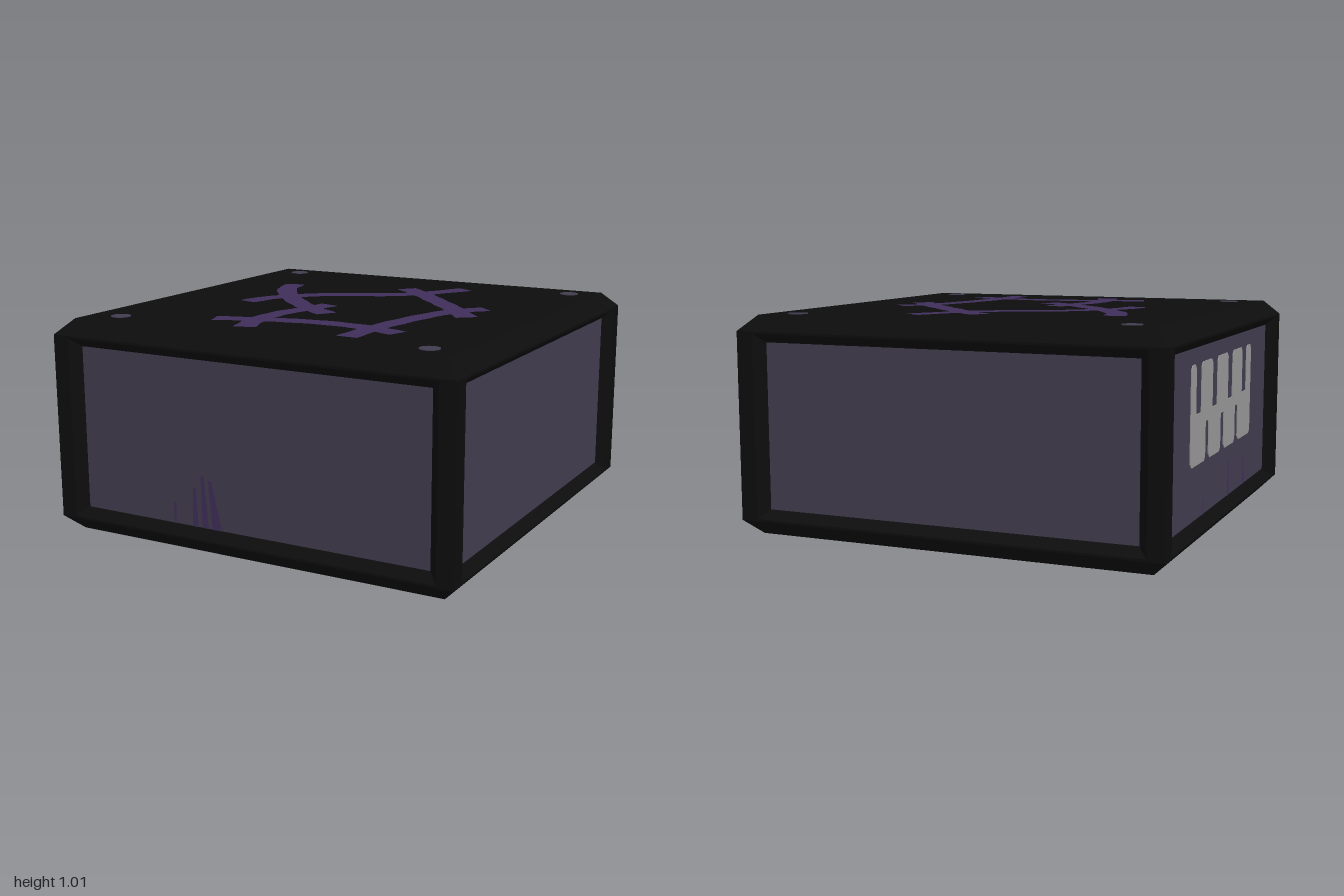
import * as THREE from 'three';

const mat = (name, color) => Object.assign(new THREE.MeshStandardMaterial({ color }), { name });

export function createModel() {
  const model = new THREE.Group();
  model.name = 'markedBox';
  const black = mat('black casing', 0x0d0d0d);
  const slate = mat('slate panel', 0x423d4f);
  const purple = mat('purple paint', 0x3f2e5a);
  const bone = mat('pale grey paint', 0x999999);

  const add = (parent, name, geometry, material) => {
    const mesh = new THREE.Mesh(geometry, material);
    mesh.name = name;
    parent.add(mesh);
    return mesh;
  };
  const polygon = (pts) => new THREE.Shape(pts.map(([x, y]) => new THREE.Vector2(x, y)));

  // Chamfered lid and base: four-sided frustums
  const C = 0.07, R = Math.SQRT2;
  const slab = (name, top, bottom, y) => {
    const g = new THREE.CylinderGeometry(top * R, bottom * R, C, 4).toNonIndexed();
    g.rotateY(Math.PI / 4).translate(0, y, 0);
    g.computeVertexNormals();
    add(model, name, g, black);
  };
  slab('lid', 1 - C, 1, 1 - C / 2);
  slab('base', 1, 1 - C, C / 2);

  // Side frame: rectangular loops stepping inward to the recessed panel
  const rect = (x, y, z) => [[-x, 0.5 - y, z], [x, 0.5 - y, z], [x, 0.5 + y, z], [-x, 0.5 + y, z]];
  const frameGeometry = () => {
    const loops = [rect(1, 0.43, 1), rect(0.92, 0.42, 1), rect(0.875, 0.38, 0.955)];
    const pos = [];
    for (let k = 0; k < loops.length - 1; k++) {
      const a = loops[k], b = loops[k + 1];
      for (let i = 0; i < 4; i++) {
        const j = (i + 1) % 4;
        pos.push(...a[i], ...a[j], ...b[j], ...a[i], ...b[j], ...b[i]);
      }
    }
    const g = new THREE.BufferGeometry();
    g.setAttribute('position', new THREE.Float32BufferAttribute(pos, 3));
    g.computeVertexNormals();
    return g;
  };
  const sides = ['front', 'left', 'back', 'right'].map((name, k) => {
    const side = new THREE.Group();
    side.name = name + 'Side';
    side.rotation.y = k * Math.PI / 2;
    add(side, name + 'Frame', frameGeometry(), black);
    add(side, name + 'Panel', new THREE.PlaneGeometry(1.75, 0.76), slate).position.set(0, 0.5, 0.955);
    model.add(side);
    return side;
  });

  // Painted spikes rising from the panel's lower edge
  const spikes = (side, list) => list.forEach(([x0, x1, tipX, tipY]) => {
    const g = new THREE.ShapeGeometry(polygon([[x0, 0.12], [x1, 0.12], [tipX + 0.008, tipY], [tipX - 0.008, tipY]]));
    add(side, 'paintSpike', g, purple).position.z = 0.958;
  });
  spikes(sides[0], [[-0.29, -0.26, -0.277, 0.3], [-0.24, -0.205, -0.235, 0.36],
    [-0.185, -0.135, -0.195, 0.34], [-0.388, -0.382, -0.385, 0.22]]);
  spikes(sides[3], [[-0.31, -0.29, -0.3, 0.19], [0.125, 0.155, 0.14, 0.29], [0.43, 0.455, 0.435, 0.27]]);

  // Row of interlocking teeth on the right side
  const teeth = [];
  const c = 0.02, top = 0.81, low = 0.365;
  const lobe = (x0, x1, y, root, dir) => {
    const s = Math.sign(x1 - x0);
    teeth.push([x0, root], [x0, y - dir * c], [x0 + s * c, y], [x1 - s * c, y], [x1, y - dir * c], [x1, root]);
  };
  [[-0.53, -0.29], [-0.235, -0.03], [0.03, 0.235], [0.29, 0.54]]
    .forEach(([a, b]) => lobe(a, b, low, 0.54, -1));
  [[0.54, 0.45], [0.365, 0.18], [0.095, -0.095], [-0.18, -0.365], [-0.45, -0.53]]
    .forEach(([a, b]) => lobe(a, b, top, 0.59, 1));
  const teethGeometry = new THREE.ExtrudeGeometry(polygon(teeth), { depth: 0.004, bevelEnabled: false });
  add(sides[3], 'teeth', teethGeometry, bone).position.z = 0.957;

  // Crossing brush strokes on the lid, each a flat ribbon along a curve
  const stroke = (pts, halfWidth = 0.05) => {
    const curve = new THREE.CatmullRomCurve3(pts.map(([x, z]) => new THREE.Vector3(x, -z, 0)));
    const leftEdge = [], rightEdge = [], n = 20;
    for (let i = 0; i <= n; i++) {
      const p = curve.getPointAt(i / n), t = curve.getTangentAt(i / n);
      const w = halfWidth + 0.003 * Math.sin(i * 1.7);
      leftEdge.push([p.x - t.y * w, p.y + t.x * w]);
      rightEdge.unshift([p.x + t.y * w, p.y - t.x * w]);
    }
    return new THREE.ShapeGeometry(polygon([...leftEdge, ...rightEdge].reverse()));
  };
  [
    [[-0.575, -0.42], [-0.53, -0.26], [-0.39, -0.06], [-0.25, 0.09], [-0.12, 0.2], [0.02, 0.29]],
    [[-0.495, 0.17], [-0.46, 0.03], [-0.38, -0.08], [-0.25, -0.2], [0, -0.33], [0.13, -0.43], [0.22, -0.56], [0.29, -0.68]],
    [[0.01, -0.56], [0.14, -0.45], [0.32, -0.27], [0.5, -0.08], [0.63, 0.08]],
    [[0.62, -0.17], [0.52, -0.06], [0.45, 0.13], [0.4, 0.38], [0.38, 0.55], [0.375, 0.75]],
    [[0.53, 0.575], [0.38, 0.525], [0.15, 0.505], [-0.08, 0.54], [-0.37, 0.635]],
    [[-0.13, 0.76], [-0.18, 0.58], [-0.18, 0.45], [-0.17, 0.35], [-0.12, 0.2], [-0.09, 0.07]],
  ].forEach((pts) => {
    add(model, 'brushStroke', stroke(pts).rotateX(-Math.PI / 2), purple).position.y = 1.003;
  });

  // Round studs in the corners of lid and base
  for (const [x, z] of [[-0.79, -0.82], [0.8, -0.81], [-0.78, 0.79], [0.785, 0.8]]) {
    const disc = () => new THREE.CylinderGeometry(0.046, 0.046, 0.006, 24);
    add(model, 'lidStud', disc(), slate).position.set(x, 1, z);
    add(model, 'baseStud', disc(), slate).position.set(x, 0, z);
  }

  // Splatter under the base
  const splat = (name, pts) => {
    const g = new THREE.ShapeGeometry(polygon(pts)).rotateX(Math.PI / 2);
    add(model, name, g, slate).position.y = -0.003;
  };
  splat('splatterBlob', [[0.1, -0.22], [0.07, -0.15], [0, -0.1], [-0.03, 0], [-0.02, 0.1], [-0.07, 0.13],
    [-0.13, 0.14], [-0.17, 0.08], [-0.16, -0.02], [-0.11, -0.07], [-0.03, -0.15], [0.06, -0.23]].reverse());
  splat('splatterStreak', [[-0.05, 0.24], [-0.08, 0.4], [-0.17, 0.48], [-0.22, 0.59], [-0.26, 0.59],
    [-0.21, 0.46], [-0.15, 0.37], [-0.11, 0.25]]);
  for (const [x, z, r] of [[0.238, -0.264, 0.022], [-0.15, 0.2, 0.012], [-0.313, 0.142, 0.014],
    [-0.523, 0.062, 0.02], [-0.37, 0.1, 0.01], [-0.17, 0.25, 0.01]]) {
    add(model, 'splatterDrop', new THREE.CircleGeometry(r, 12).rotateX(Math.PI / 2), slate).position.set(x, -0.003, z);
  }
  return model;
}
